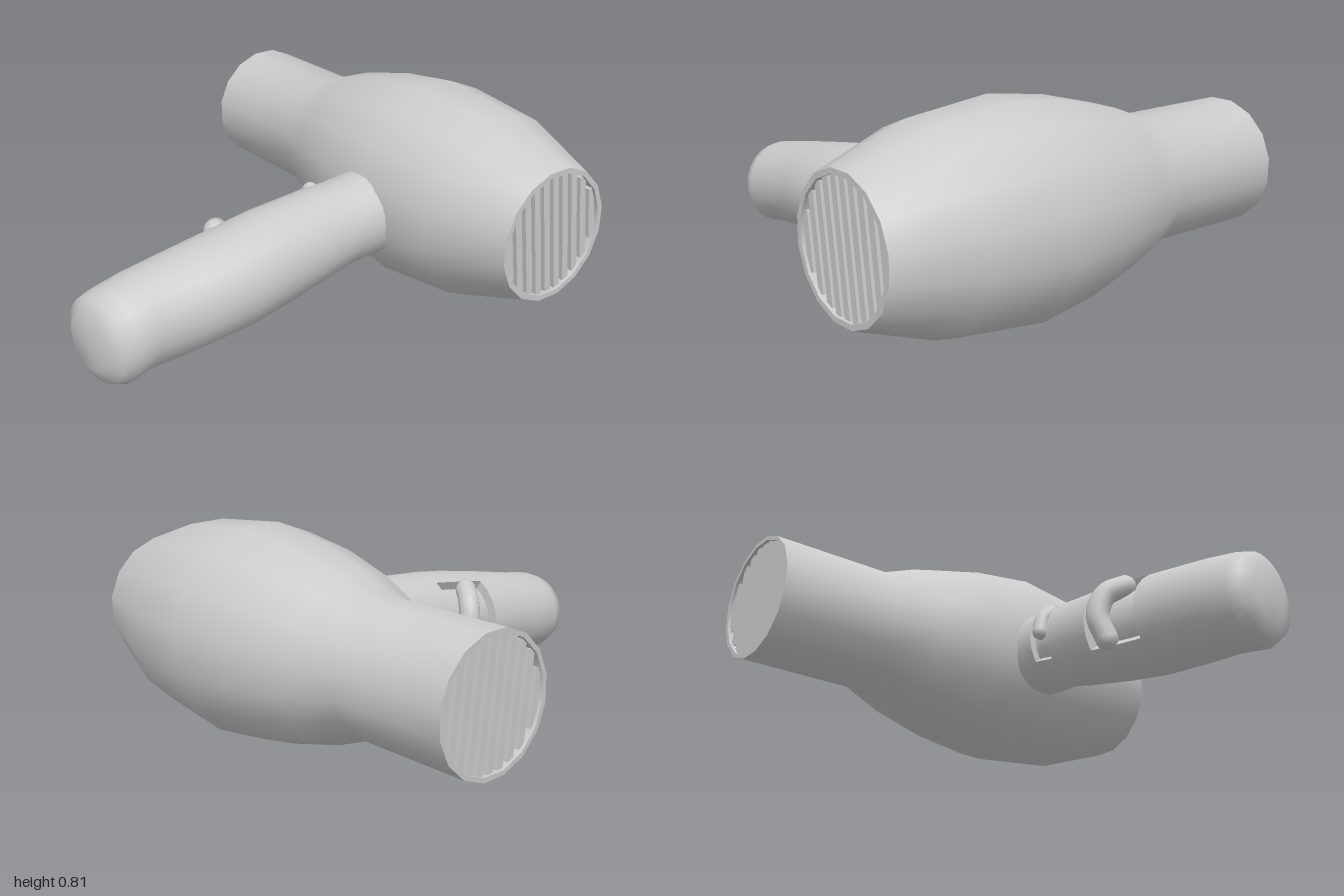
import * as THREE from 'three';
import { toCreasedNormals } from 'three/addons/utils/BufferGeometryUtils.js';

const material = new THREE.MeshStandardMaterial({ color: 0xcccccc });
const AXIS_Y = 0.41, AXIS_Z = -0.597;

function mesh(name, geometry) {
  const m = new THREE.Mesh(geometry, material);
  m.name = name;
  return m;
}

// Barrel: 16-sided lathe with a shallow recess at each end
function makeBarrel() {
  const profile = [
    [0, -0.885], [0.235, -0.885], [0.235, -0.92], [0.252, -0.92], [0.252, -0.41],
    [0.318, -0.24], [0.379, 0], [0.412, 0.25], [0.375, 0.6],
    [0.264, 0.915], [0.243, 0.915], [0.243, 0.88], [0, 0.88],
  ].map(([r, y]) => new THREE.Vector2(r, y));
  const g = new THREE.LatheGeometry(profile, 16, Math.PI / 16);
  g.rotateZ(-Math.PI / 2);
  const m = mesh('barrel', toCreasedNormals(g, 0.6));
  m.position.set(0, AXIS_Y, AXIS_Z);
  return m;
}

// Grille: parallel slats trimmed to the round opening
function makeGrille(name, x, radius) {
  const grille = new THREE.Group();
  grille.name = name;
  const count = 10, pitch = 2 * radius / count;
  for (let i = 0; i < count; i++) {
    const d = (i - (count - 1) / 2) * pitch;
    const length = 2 * Math.sqrt(radius * radius - d * d);
    const slat = mesh('slat', new THREE.BoxGeometry(0.03, length, pitch * 0.62));
    slat.position.z = d;
    grille.add(slat);
  }
  grille.position.set(x, AXIS_Y, AXIS_Z);
  grille.rotation.x = 0.14;
  return grille;
}

// Handle sections: z, then left/right x limits and bottom/top y limits
const SECTIONS = [
  [-0.35, 0.09, 0.42, 0.19, 0.55],
  [-0.2, 0.08, 0.42, 0.185, 0.525],
  [-0.1, 0.075, 0.417, 0.178, 0.51],
  [0, 0.068, 0.42, 0.15, 0.507],
  [0.25, 0.055, 0.44, 0.097, 0.485],
  [0.4, 0.054, 0.45, 0.072, 0.463],
  [0.6, 0.055, 0.435, 0.048, 0.428],
  [0.8, 0.056, 0.405, 0.024, 0.39],
  [0.91, 0.07, 0.42, 0.01, 0.37],
  [0.96, 0.085, 0.405, 0.027, 0.352],
  [0.99, 0.14, 0.33, 0.08, 0.295],
  [0.993, 0.235, 0.235, 0.185, 0.185],
];
// Switch recesses: z range and depth, on the upper right-hand side
const RECESSES = [[-0.12, -0.02, 0.025], [0.23, 0.495, 0.04]];
const RECESS_FROM = 122, RECESS_TO = 214, WALL = 0.004;

function sectionAt(z) {
  let i = 0;
  while (i < SECTIONS.length - 2 && z > SECTIONS[i + 1][0]) i++;
  const a = SECTIONS[i], b = SECTIONS[i + 1];
  const t = (z - a[0]) / (b[0] - a[0]);
  return a.map((v, k) => v + (b[k] - v) * t);
}

function makeHandle() {
  const zs = SECTIONS.map(s => s[0]);
  for (const [z0, z1] of RECESSES) zs.push(z0 - WALL, z0, z1, z1 + WALL);
  zs.sort((a, b) => a - b);
  const angles = [RECESS_FROM - 1.5, RECESS_FROM, RECESS_TO, RECESS_TO + 1.5];
  for (let a = 0; a <= 360; a += 15) angles.push(a);
  angles.sort((a, b) => a - b);

  const positions = [], index = [], n = angles.length;
  zs.forEach((z, i) => {
    const [, x0, x1, y0, y1] = sectionAt(z);
    const cut = RECESSES.find(r => z >= r[0] && z <= r[1]);
    const skew = 0.13 * THREE.MathUtils.smoothstep(z, 0.8, 0.91);
    angles.forEach((deg, j) => {
      const inside = cut && deg >= RECESS_FROM && deg <= RECESS_TO;
      const depth = inside ? cut[2] : 0;
      const a = THREE.MathUtils.degToRad(deg);
      const x = (x0 + x1) / 2 + Math.cos(a) * ((x1 - x0) / 2 - depth);
      const y = (y0 + y1) / 2 + Math.sin(a) * ((y1 - y0) / 2 - depth);
      positions.push(x, y, z - skew * (x - 0.235));
      if (i < zs.length - 1 && j < n - 1) {
        const p = i * n + j;
        index.push(p, p + 1, p + n, p + 1, p + n + 1, p + n);
      }
    });
  });
  const g = new THREE.BufferGeometry();
  g.setAttribute('position', new THREE.Float32BufferAttribute(positions, 3));
  g.setIndex(index);
  return mesh('handle', toCreasedNormals(g, 0.95));
}

// Curved switch with rounded ends, wrapped around the handle side
function makeSwitch(name, points, radius) {
  const group = new THREE.Group();
  group.name = name;
  const path = points.map(p => new THREE.Vector3(...p));
  const curve = new THREE.CatmullRomCurve3(path);
  group.add(mesh('switchBar', new THREE.TubeGeometry(curve, 20, radius, 12)));
  for (const end of [path[0], path[path.length - 1]]) {
    const cap = mesh('switchEnd', new THREE.SphereGeometry(radius, 12, 8));
    cap.position.copy(end);
    group.add(cap);
  }
  return group;
}

export function createModel() {
  const model = new THREE.Group();
  model.name = 'hairDryer';
  model.add(
    makeBarrel(),
    makeGrille('nozzleGrille', -0.893, 0.235),
    makeGrille('intakeGrille', 0.888, 0.243),
    makeHandle(),
    makeSwitch('powerSwitch',
      [[0.13, 0.405, 0.385], [0.07, 0.37, 0.34], [0.045, 0.28, 0.32], [0.075, 0.19, 0.335]], 0.045),
    makeSwitch('coolButton',
      [[0.135, 0.455, -0.06], [0.1, 0.42, -0.07], [0.085, 0.36, -0.07]], 0.033),
  );
  return model;
}
